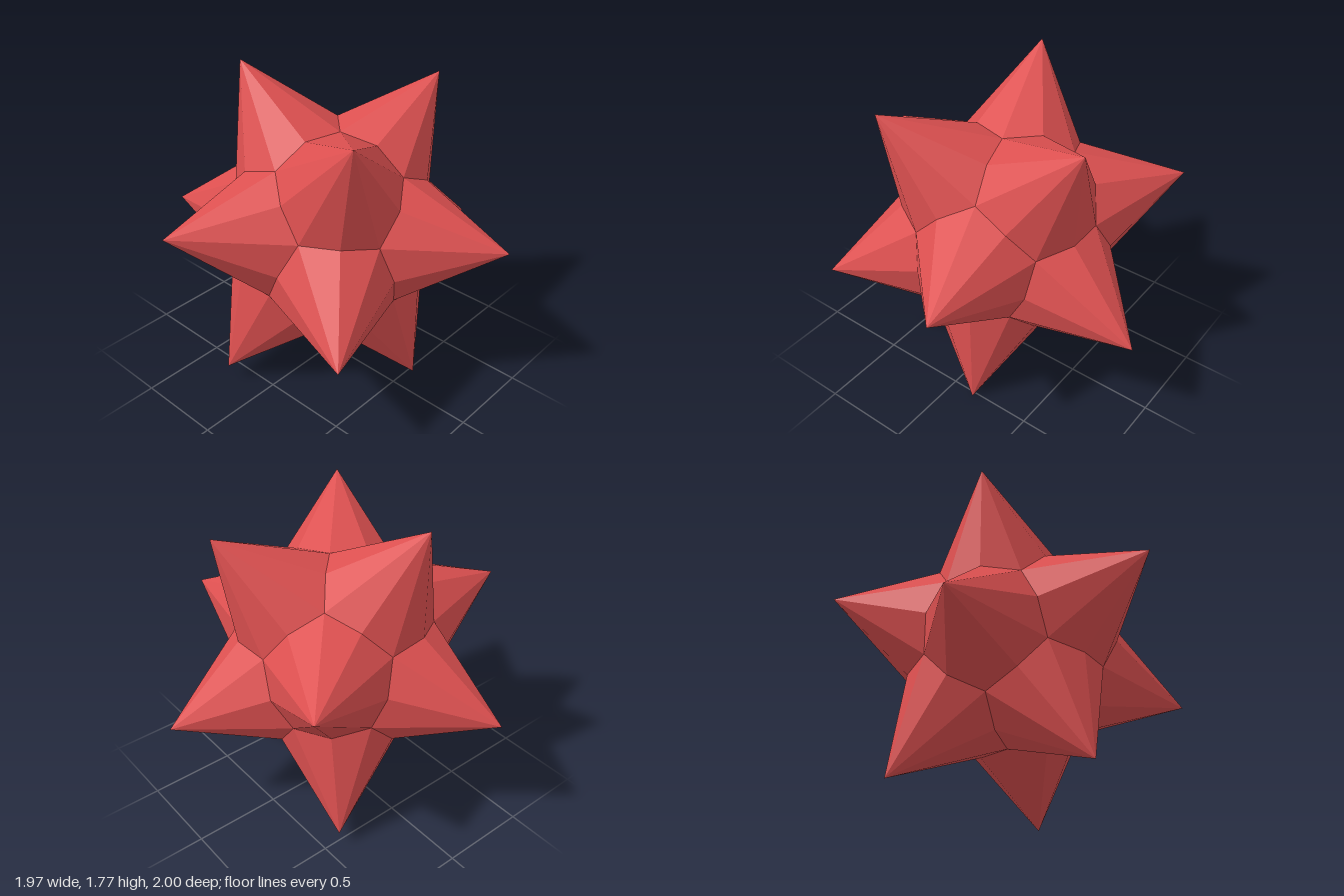
import * as THREE from 'three';

const TIP = 1.043;      // centre to spike tip
const MID = 0.612;      // centre to valley between two spikes
const CORNER = 0.585;   // centre to corner where three spikes meet
const RING = Math.atan(2); // angle between neighbouring spikes

// One ten-sided spike along +y; even rim points lie towards neighbouring spikes
function spikeGeometry() {
  const rim = (k) => {
    const even = k % 2 === 0;
    const r = even ? MID : CORNER;
    const polar = even ? RING / 2 : 0.6524;
    const a = (k * Math.PI) / 5;
    return [r * Math.sin(polar) * Math.cos(a), r * Math.cos(polar), r * Math.sin(polar) * Math.sin(a)];
  };
  const pos = [];
  for (let k = 0; k < 10; k++) pos.push(0, TIP, 0, ...rim(k + 1), ...rim(k));
  const geo = new THREE.BufferGeometry();
  geo.setAttribute('position', new THREE.Float32BufferAttribute(pos, 3));
  geo.computeVertexNormals();
  return geo;
}

// Twelve spike directions: an axis, a ring of five around it, and their opposites
function spikeDirections() {
  const axis = new THREE.Vector3(0.28, 0.095, 1).normalize();
  const side = new THREE.Vector3(0.15, -0.885, 0.526).projectOnPlane(axis).normalize();
  const dirs = [axis];
  for (let k = 0; k < 5; k++) {
    const out = side.clone().applyAxisAngle(axis, (k * 2 * Math.PI) / 5);
    dirs.push(axis.clone().multiplyScalar(Math.cos(RING)).addScaledVector(out, Math.sin(RING)));
  }
  return [...dirs, ...dirs.map((d) => d.clone().negate())];
}

export function createModel() {
  const group = new THREE.Group();
  group.name = 'spikedStar';
  const geo = spikeGeometry();
  const mat = new THREE.MeshStandardMaterial({ color: 0xdd5050, flatShading: true });
  const dirs = spikeDirections();

  dirs.forEach((y, i) => {
    // Turn each spike so its rim meets the rims of its neighbours
    const neighbour = dirs.find((d) => Math.abs(d.dot(y) - Math.cos(RING)) < 0.01);
    const x = neighbour.clone().projectOnPlane(y).normalize();
    const z = x.clone().cross(y);
    const spike = new THREE.Mesh(geo, mat);
    spike.name = `spike${i + 1}`;
    spike.quaternion.setFromRotationMatrix(new THREE.Matrix4().makeBasis(x, y, z));
    spike.position.y = 0.885;
    group.add(spike);
  });
  return group;
}
